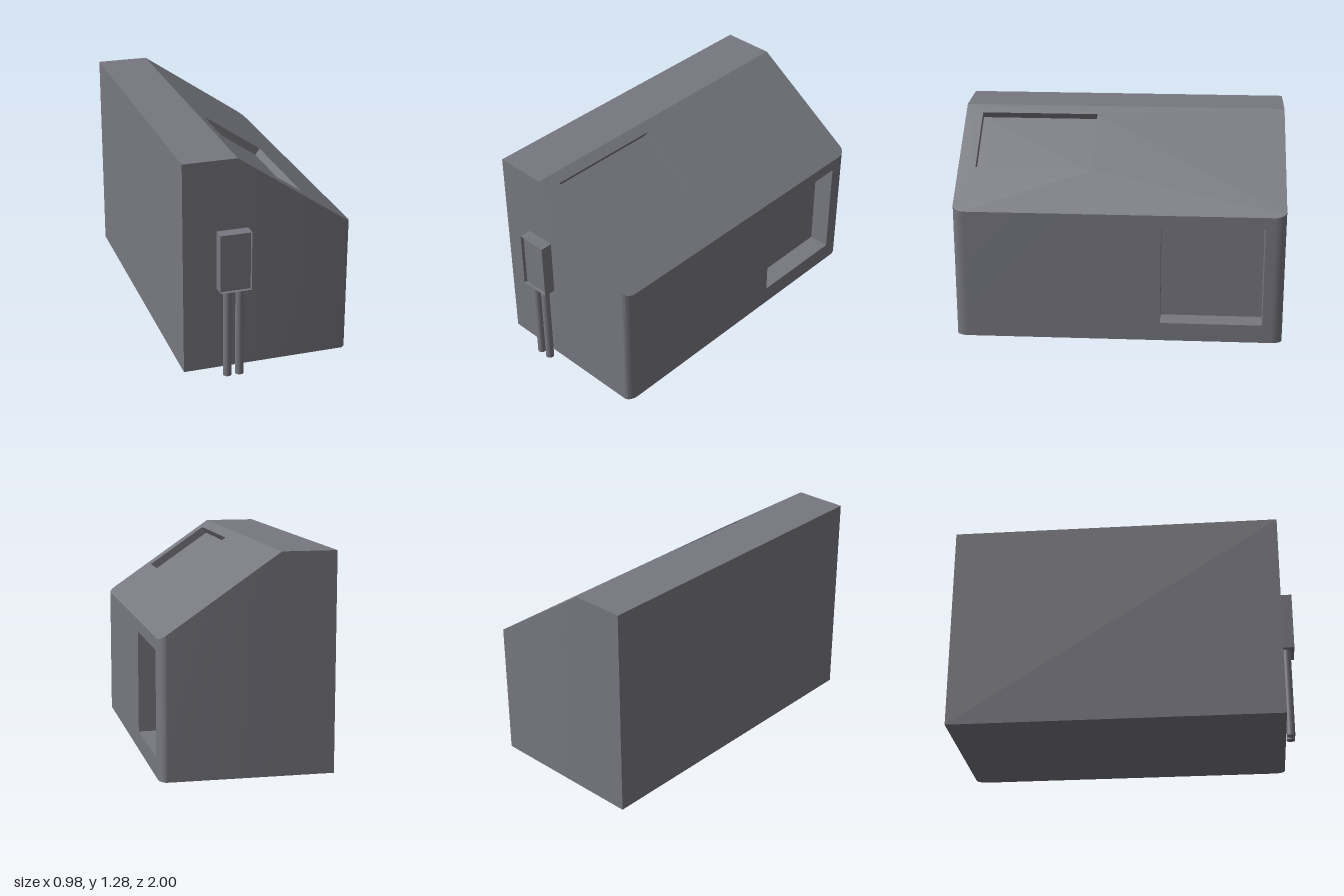
import * as THREE from 'three';
import { mergeGeometries, toCreasedNormals } from 'three/addons/utils/BufferGeometryUtils.js';

const X = 0.49, RIDGE = -0.18, FRONT = 0.93, BACK = -1, BASE = 0.042, TOP = 1.285;
const SLOPE = (TOP - 0.825) / (X - RIDGE);
const roofY = (x) => TOP - Math.max(0, x - RIDGE) * SLOPE;

// Flat quad, corners counter-clockwise as seen from its front
function quad(a, b, c, d) {
  const g = new THREE.BufferGeometry();
  g.setAttribute('position', new THREE.Float32BufferAttribute([a, b, c, a, c, d].flat(), 3));
  return g;
}

// Planar outline (optionally with a hole) placed in space by a mapping rule
const toVecs = (list) => list.map(([u, v]) => new THREE.Vector2(u, v));
function outline(points, hole) {
  const shape = new THREE.Shape(toVecs(points));
  if (hole) shape.holes.push(new THREE.Path(toVecs(hole)));
  return shape;
}
function panel(points, hole, map) {
  const g = new THREE.ShapeGeometry(outline(points, hole)).toNonIndexed();
  g.deleteAttribute('uv');
  g.deleteAttribute('normal');
  const p = g.attributes.position;
  for (let i = 0; i < p.count; i++) p.setXYZ(i, ...map(p.getX(i), p.getY(i)));
  return g;
}

// Four side walls and a floor sunk behind an opening
function recess(corners, inward) {
  const deep = corners.map((c) => c.map((v, i) => v + inward[i]));
  const parts = [quad(...deep)];
  for (let i = 0; i < 4; i++) {
    const j = (i + 1) % 4;
    parts.push(quad(corners[i], corners[j], deep[j], deep[i]));
  }
  const g = mergeGeometries(parts);
  g.computeVertexNormals();
  return g;
}

const rect = (u0, u1, v0, v1) => [[u0, v0], [u1, v0], [u1, v1], [u0, v1]];

export function createModel() {
  const group = new THREE.Group();
  const material = new THREE.MeshStandardMaterial({ color: 0x777780 });
  const add = (name, geometry, x = 0, y = 0, z = 0) => {
    const mesh = new THREE.Mesh(geometry, material);
    mesh.name = name;
    mesh.position.set(x, y, z);
    group.add(mesh);
  };

  // Footprint in (x, -z), with rounded corners along the low side
  const rx = 0.042, rz = 0.068, steps = 10;
  const corner = (start, s) => Array.from({ length: steps + 1 }, (_, i) => {
    const a = start + (i / steps) * Math.PI / 2;
    return [X - rx + rx * Math.cos(a), s + rz * Math.sin(a)];
  });
  const low = [[RIDGE, -FRONT], ...corner(-Math.PI / 2, -FRONT + rz), ...corner(0, -BACK - rz), [RIDGE, -BACK]];
  const footprint = [[-X, -FRONT], ...low, [-X, -BACK]];

  // Openings
  const sky = rect(-0.126, 0.222, -0.828, -0.13);
  const win = rect(0.28, 0.88, 0.153, 0.753);
  const onRoof = (x, s) => [x, roofY(x), -s];
  const onSide = (u, v) => [X, v, -u];

  // Shell: floor, ridge strip, sloping roof, pierced side wall
  const shell = [
    panel(footprint.map(([x, s]) => [x, -s]), null, (x, z) => [x, BASE, z]),
    panel(rect(-X, RIDGE, -FRONT, -BACK), null, onRoof),
    panel(low, sky, onRoof),
    panel(rect(-FRONT + rz, -BACK - rz, BASE, roofY(X)), win, onSide),
  ];
  // Remaining walls follow the footprint
  footprint.forEach(([x, s], i) => {
    const [x2, s2] = footprint[(i + 1) % footprint.length];
    if (i === steps + 2) return; // pierced wall, already made
    shell.push(quad([x, BASE, -s], [x2, BASE, -s2], [x2, roofY(x2), -s2], [x, roofY(x), -s]));
  });
  add('houseShell', toCreasedNormals(mergeGeometries(shell), 0.5));

  // Recesses, sunk square to their surfaces
  const depth = 0.046, len = Math.hypot(1, SLOPE);
  add('roofRecess', recess(sky.map((p) => onRoof(...p)), [-depth * SLOPE / len, -depth / len, 0]));
  add('windowRecess', recess(win.map((p) => onSide(...p)), [-0.125, 0, 0]));

  // Meter box with a thin rim around its face
  const w = 0.18, h = 0.345, cx = -0.208, cy = 0.705, rim = 0.001;
  add('meterBox', new THREE.BoxGeometry(w, h, 0.05), cx, cy, FRONT + 0.025);
  const frame = outline(rect(-w / 2, w / 2, -h / 2, h / 2),
    rect(-w / 2 + rim, w / 2 - rim, -h / 2 + rim, h / 2 - rim));
  add('meterBoxRim', new THREE.ExtrudeGeometry(frame, { depth: 0.02, bevelEnabled: false }), cx, cy, FRONT + 0.05);

  // Pipes below the box
  for (const x of [-0.244, -0.173]) {
    add('pipe', new THREE.CylinderGeometry(0.0245, 0.0245, 0.535, 32), x, 0.2675, FRONT + 0.0245);
  }
  return group;
}
